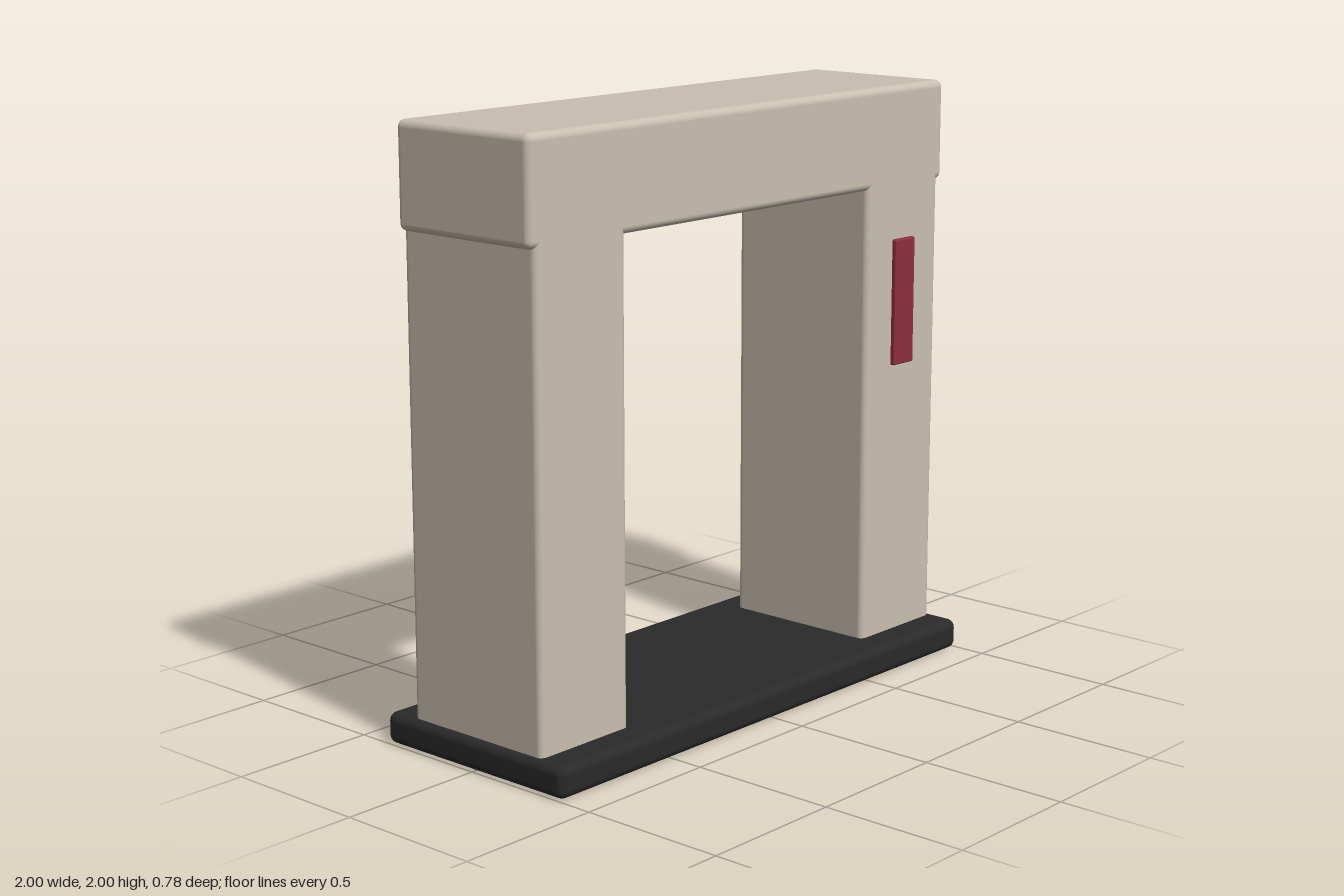
import * as THREE from 'three';
import { RoundedBoxGeometry } from 'three/addons/geometries/RoundedBoxGeometry.js';

const stone = new THREE.MeshStandardMaterial({ color: 0xc8bfb0 });
const dark = new THREE.MeshStandardMaterial({ color: 0x2a2a2a });
const red = new THREE.MeshStandardMaterial({ color: 0x8e2f3c });

// Rounded block given by its lower and upper corners
function block(name, [x0, y0, z0], [x1, y1, z1], radius, material) {
  const geometry = new RoundedBoxGeometry(x1 - x0, y1 - y0, z1 - z0, 4, radius);
  const mesh = new THREE.Mesh(geometry, material);
  mesh.name = name;
  mesh.position.set((x0 + x1) / 2, (y0 + y1) / 2, (z0 + z1) / 2);
  return mesh;
}

export function createModel() {
  const model = new THREE.Group();
  model.name = 'gateway';

  // Floor plate
  model.add(block('base', [-1, 0, -0.39], [1, 0.105, 0.39], 0.03, dark));

  // Two posts, running up into the lintel so their faces join flush
  for (const side of [1, -1]) {
    const post = block(side > 0 ? 'leftPost' : 'rightPost',
      [-0.193, 0.01, -0.282], [0.193, 1.76, 0.282], 0.022, stone);
    post.position.x = side * 0.783;
    model.add(post);
  }

  // Crossbeam
  model.add(block('lintel', [-1, 1.66, -0.282], [1, 2, 0.282], 0.025, stone));

  // Thin panel on the front of the left post
  model.add(block('panel', [0.726, 1.05, 0.272], [0.832, 1.483, 0.298], 0.006, red));

  return model;
}
